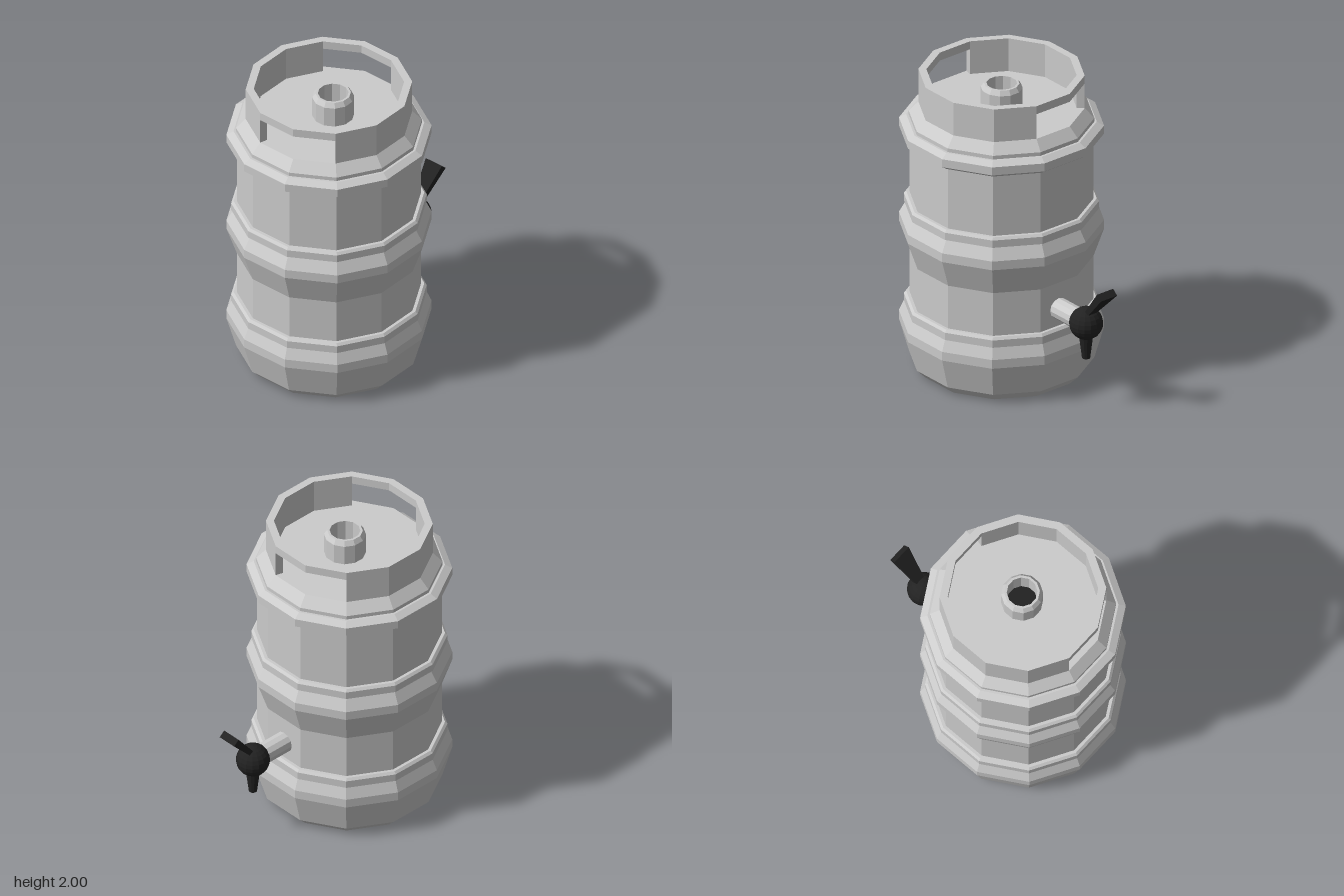
import * as THREE from 'three';

const SIDES = 12;
const STEP = (Math.PI * 2) / SIDES;

const steel = new THREE.MeshStandardMaterial({ color: 0xcccccc, flatShading: true });
const steelThin = new THREE.MeshStandardMaterial({ color: 0xcccccc, flatShading: true, side: THREE.DoubleSide });
const black = new THREE.MeshStandardMaterial({ color: 0x222222, flatShading: true });

function add(parent, name, geometry, material, x = 0, y = 0, z = 0) {
  const mesh = new THREE.Mesh(geometry, material);
  mesh.name = name;
  mesh.position.set(x, y, z);
  parent.add(mesh);
  return mesh;
}

// Faceted solid of revolution from [radius, height] pairs, between two facet indices
function turned(profile, from = 0, count = SIDES) {
  const points = profile.map(([r, y]) => new THREE.Vector2(r, y));
  return new THREE.LatheGeometry(points, count, from * STEP, count * STEP);
}

function buildBody(keg) {
  add(keg, 'body', turned([
    [0, 0], [0.515, 0], [0.575, 0.06], [0.635, 0.27], [0.635, 0.33], [0.605, 0.40],
    [0.57, 0.465], [0.57, 0.76], [0.635, 0.95], [0.635, 1.01], [0.59, 1.09],
    [0.57, 1.15], [0.57, 1.575], [0.59, 1.575], [0.635, 1.605], [0.635, 1.66],
    [0.59, 1.685], [0.575, 1.685], [0.575, 1.71], [0.515, 1.775], [0, 1.775],
  ]), steel);

  // Two raised hoops round the barrel
  for (const y of [0.40, 1.09]) {
    add(keg, 'hoop', turned([
      [0.56, y], [0.605, y], [0.605, y + 0.05], [0.59, y + 0.065], [0.56, y + 0.065],
    ]), steel);
  }
}

function buildCollar(keg) {
  const outer = 0.515, inner = 0.465, base = 1.775, rail = 1.945, top = 2;

  add(keg, 'collarRail', turned([
    [inner, rail], [outer, rail], [outer, top], [inner, top], [inner, rail],
  ]), steel);

  // Two walls of four facets leave two opposite hand holes of two facets each
  for (const first of [5, 11]) {
    add(keg, 'collarWall', turned([
      [outer, base], [outer, rail], [inner, rail], [inner, base],
    ], first, 4), steel);
    for (const edge of [first, first + 4]) {
      const a = edge * STEP, r = (outer + inner) / 2;
      const end = add(keg, 'handHoleEdge', new THREE.PlaneGeometry(outer - inner, rail - base),
        steelThin, r * Math.sin(a), (base + rail) / 2, r * Math.cos(a));
      end.rotation.y = a - Math.PI / 2;
    }
  }
}

function buildValve(keg) {
  const valve = new THREE.Group();
  valve.name = 'valve';
  valve.position.set(0.025, 0, 0.01);
  keg.add(valve);
  add(valve, 'valveNeck', turned([
    [0.13, 1.775], [0.13, 1.91], [0.11, 1.94], [0.095, 1.94], [0.095, 1.78],
  ]), steel);
  add(valve, 'valveSeal', new THREE.CircleGeometry(0.095, SIDES), black, 0, 1.785, 0)
    .rotation.x = -Math.PI / 2;
}

function buildTap(keg) {
  // The tap leaves the middle of one facet
  const tap = new THREE.Group();
  tap.name = 'tap';
  tap.position.y = 0.585;
  tap.rotation.y = STEP / 2;
  keg.add(tap);

  const reach = 0.815;
  add(tap, 'tapPipe', new THREE.CylinderGeometry(0.068, 0.068, 0.27, 12), steel, 0.67, 0, 0)
    .rotation.z = Math.PI / 2;
  add(tap, 'tapBall', new THREE.SphereGeometry(0.106, 16, 12), black, reach, 0, 0);
  add(tap, 'tapSpout', new THREE.CylinderGeometry(0.048, 0.026, 0.18, 12), black, reach, -0.15, 0);

  // Lever: a box that narrows towards the ball
  const length = 0.29;
  const lever = new THREE.BoxGeometry(0.05, length, 0.13);
  lever.translate(0, length / 2, 0);
  const p = lever.attributes.position;
  for (let i = 0; i < p.count; i++) {
    if (p.getY(i) < 0.01) {
      p.setX(i, p.getX(i) * 0.6);
      p.setZ(i, p.getZ(i) * 0.4);
    }
  }
  add(tap, 'tapLever', lever, black, reach + 0.01, 0.05, 0).rotation.z = -0.72;
}

export function createModel() {
  const model = new THREE.Group();
  model.name = 'keg';
  const keg = new THREE.Group();
  keg.name = 'kegWithTap';
  keg.position.x = -0.185;
  model.add(keg);
  buildBody(keg);
  buildCollar(keg);
  buildValve(keg);
  buildTap(keg);
  return model;
}
